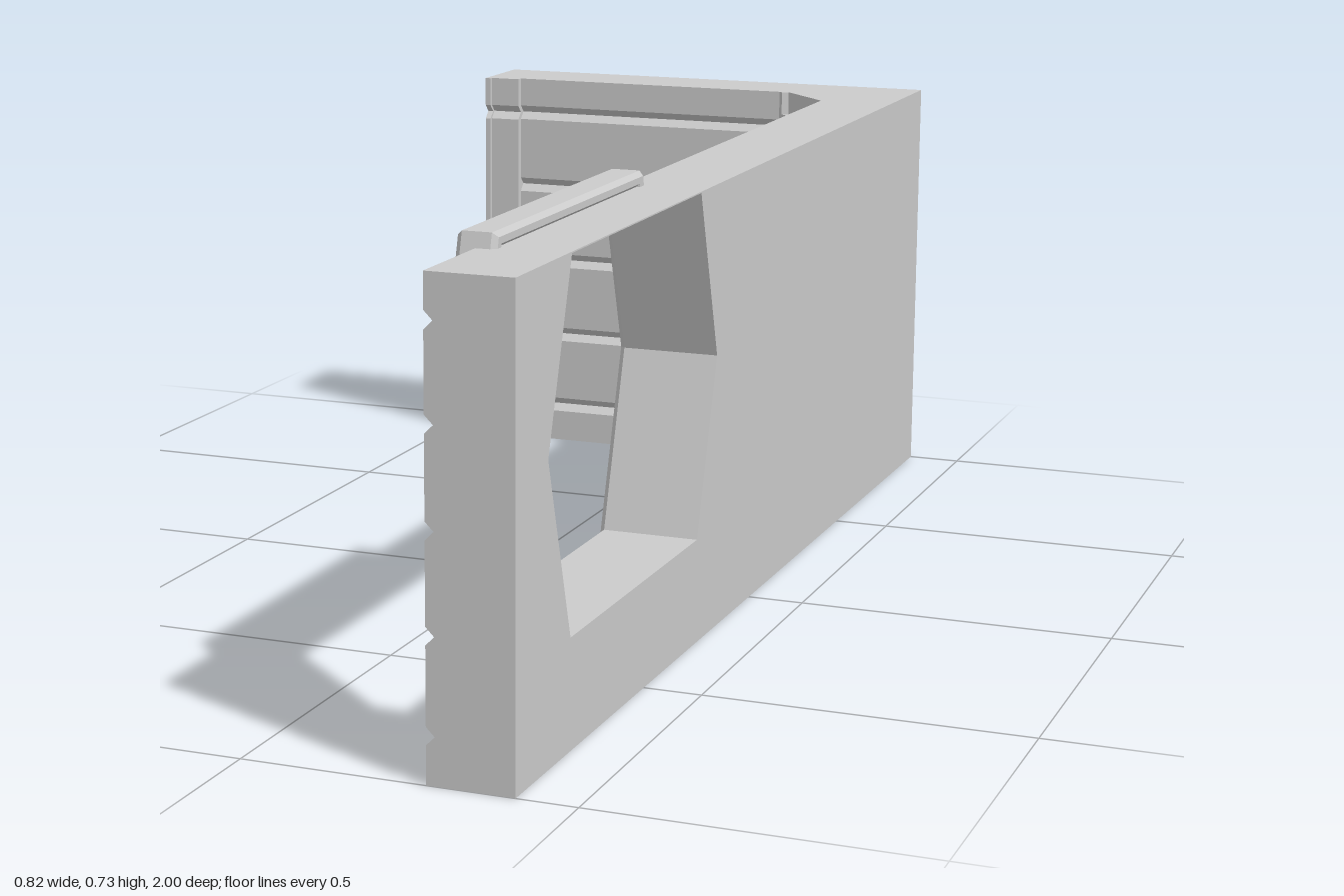
import * as THREE from 'three';

const H = 0.705;                              // wall height
const SEAMS = [0.07, 0.21, 0.355, 0.5, 0.64]; // plank grooves
const G = 0.013;                              // groove half height and depth
const HEX = [[0.8, 0.703], [0.265, 0.703], [0.18, 0.437], [0.265, 0.165], [0.8, 0.165], [0.885, 0.437]];
const RIM = [[0.82, 0.727], [0.24, 0.727], [0.16, 0.437], [0.24, 0.138], [0.82, 0.138], [0.9, 0.437]];

const mat = new THREE.MeshStandardMaterial({ color: 0xcccccc, flatShading: true });
const thin = new THREE.MeshStandardMaterial({ color: 0xcccccc, flatShading: true, side: THREE.DoubleSide });

const vecs = (pts) => pts.map(([a, b]) => new THREE.Vector2(a, b));

// Extrude an outline given in (z, y) from x0 to x1
function alongX(shape, x0, x1, extra = {}) {
  const g = new THREE.ExtrudeGeometry(shape, { depth: x1 - x0, bevelEnabled: false, ...extra });
  return g.rotateY(-Math.PI / 2).translate(x1, 0, 0);
}

// Extrude an outline given in (x, z) from y0 to y1
function alongY(pts, y0, y1) {
  const shape = new THREE.Shape(vecs(pts.map(([x, z]) => [x, -z])));
  const g = new THREE.ExtrudeGeometry(shape, { depth: y1 - y0, bevelEnabled: false });
  return g.rotateX(-Math.PI / 2).translate(0, y0, 0);
}

// Upright profile of a face at u = face, notched at the given heights, closed at u = back
function notched(face, back, seams, depth) {
  const dir = Math.sign(back - face);
  const pts = [[back, 0], [face, 0]];
  for (const s of seams) pts.push([face, s - G], [face + dir * depth, s], [face, s + G]);
  pts.push([face, H], [back, H]);
  return new THREE.Shape(vecs(pts));
}

// Grooved inner face of the side wall, interrupted by the window
function plankSkin() {
  const mid = 0.53, base = 0.28, back = base + G;
  const ys = [0, H, 0.1649, 0.165, 0.437, 0.703, 0.7031];
  for (const s of SEAMS) ys.push(s - G, s, s + G);
  ys.sort((a, b) => a - b);
  const rows = ys.map((y) => {
    const depth = Math.max(0, ...SEAMS.map((s) => G - Math.abs(y - s)));
    let half = 0;
    if (y >= 0.165 && y <= 0.703) {
      const t = y < 0.437 ? (0.437 - y) / 0.272 : (y - 0.437) / 0.266;
      half = 0.3525 - 0.085 * t;
    }
    return { x: base + depth, y, a: mid - half, b: mid + half };
  });
  rows.unshift({ ...rows[0], x: back });
  rows.push({ ...rows[rows.length - 1], x: back });
  const pos = [];
  for (let i = 0; i + 1 < rows.length; i++) {
    const p = rows[i], q = rows[i + 1];
    for (const [p0, p1, q0, q1] of [[-1, p.a, -1, q.a], [p.b, 1, q.b, 1]]) {
      pos.push(p.x, p.y, p0, p.x, p.y, p1, q.x, q.y, q1);
      pos.push(p.x, p.y, p0, q.x, q.y, q1, q.x, q.y, q0);
    }
  }
  const g = new THREE.BufferGeometry();
  g.setAttribute('position', new THREE.Float32BufferAttribute(pos, 3));
  g.computeVertexNormals();
  return g;
}

export function createModel() {
  const model = new THREE.Group();
  const add = (name, geometry, material = mat, parent = model) => {
    const m = new THREE.Mesh(geometry, material);
    m.name = name;
    parent.add(m);
    return m;
  };

  // Side wall slab with hexagonal window
  const slab = new THREE.Shape(vecs([[-1, 0], [1, 0], [1, H], [-1, H]]));
  slab.holes.push(new THREE.Path(vecs(HEX)));
  add('sideWall', alongX(slab, 0.28 + G, 0.41));
  add('sideWallPlanks', plankSkin(), thin);
  const cap = new THREE.ShapeGeometry(notched(0.28, 0.28 + G + 0.001, SEAMS, G));
  add('sideWallEnd', cap.translate(0, 0, 1), thin);

  // Window frame standing proud of the inner face
  const rim = new THREE.Shape(vecs(RIM));
  rim.holes.push(new THREE.Path(vecs(HEX)));
  add('windowFrame', alongX(rim, 0.258, 0.302, {
    bevelEnabled: true, bevelSize: 0.007, bevelOffset: -0.007, bevelThickness: 0.008, bevelSegments: 1,
  }));

  // Back wall with the same planking
  add('backWall', alongX(notched(-0.875, -1, SEAMS, G), -0.41, 0.3));

  // End post with a few shallow joints, and its slimmer edge strip
  const joints = [0.07, 0.355, 0.64];
  add('endPost', alongX(notched(-0.862, -0.95, joints, G), -0.4, -0.345));
  add('endPostEdge', alongX(notched(-0.855, -0.95, joints, G), -0.41, -0.4));

  // Diagonal corner brace: recessed core with raised borders on every plank
  const corner = new THREE.Group();
  corner.name = 'cornerBrace';
  model.add(corner);
  add('braceCore', alongY([[0.186, -0.88], [0.29, -0.776], [0.29, -0.88]], 0, H), mat, corner);
  const border = [[0.168, -0.88], [0.29, -0.765], [0.29, -0.88]];
  const side = [[0.168, -0.88], [0.18, -0.8687], [0.2, -0.88]];
  const edges = [0, ...SEAMS, H];
  for (let i = 0; i + 1 < edges.length; i++) {
    const first = i === 0, last = i === SEAMS.length;
    const y0 = edges[i] + (first ? 0 : G), y1 = edges[i + 1] - (last ? 0 : G);
    add('braceSide', alongY(side, y0, y1), mat, corner);
    if (!first) add('braceBorder', alongY(border, y0, y0 + 0.011), mat, corner);
    if (!last) add('braceBorder', alongY(border, y1 - 0.011, y1), mat, corner);
  }
  return model;
}
